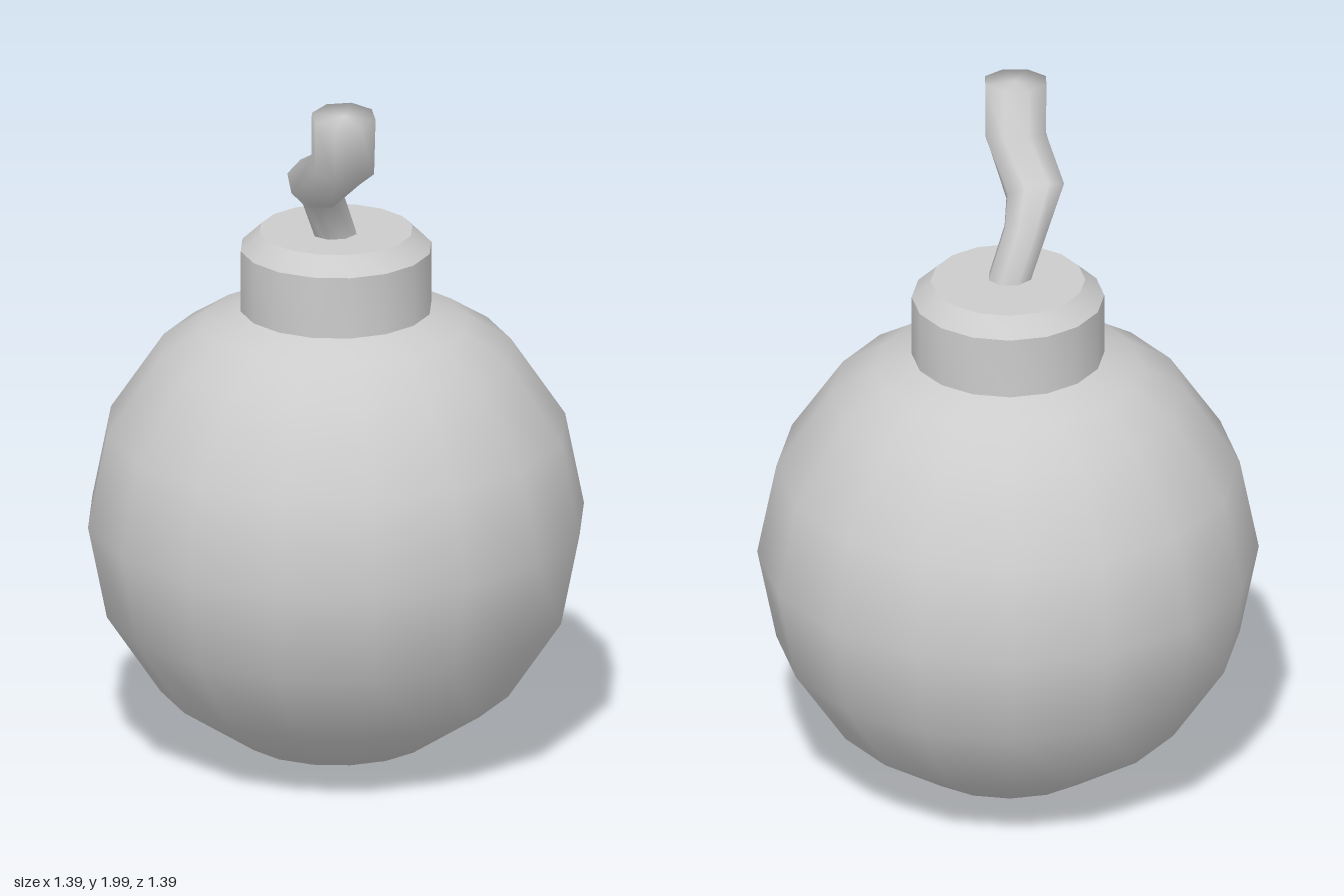
import * as THREE from 'three';
import { toCreasedNormals } from 'three/addons/utils/BufferGeometryUtils.js';

const SIDES = 16;
const FUSE_SIDES = 8;

function lathe(points) {
  return new THREE.LatheGeometry(points.map(([r, y]) => new THREE.Vector2(r, y)), SIDES);
}

// Tube through tilted rings of changing radius, closed at its far end
function ringTube(rings, sides) {
  const positions = [];
  const index = [];
  rings.forEach(({ at, dir, r }, i) => {
    const t = new THREE.Vector3(...dir).normalize();
    const u = new THREE.Vector3(1, 0, 0).addScaledVector(t, -t.x).normalize();
    const v = new THREE.Vector3().crossVectors(t, u);
    for (let j = 0; j < sides; j++) {
      const a = (j / sides) * Math.PI * 2;
      const p = new THREE.Vector3(...at)
        .addScaledVector(u, r * Math.cos(a))
        .addScaledVector(v, r * Math.sin(a));
      positions.push(p.x, p.y, p.z);
      if (i > 0) {
        const k = (j + 1) % sides;
        const a0 = (i - 1) * sides;
        const b0 = i * sides;
        index.push(a0 + j, a0 + k, b0 + j, a0 + k, b0 + k, b0 + j);
      }
    }
  });
  const end = (rings.length - 1) * sides;
  positions.push(...rings[rings.length - 1].at);
  for (let j = 0; j < sides; j++) index.push(end + j, end + ((j + 1) % sides), end + sides);

  const geometry = new THREE.BufferGeometry();
  geometry.setAttribute('position', new THREE.Float32BufferAttribute(positions, 3));
  geometry.setIndex(index);
  geometry.computeVertexNormals();
  return geometry;
}

export function createModel() {
  const group = new THREE.Group();
  const material = new THREE.MeshStandardMaterial({ color: 0xcccccc });
  const add = (name, geometry) => {
    const mesh = new THREE.Mesh(geometry, material);
    mesh.name = name;
    group.add(mesh);
  };

  // Round body: sphere rings from the bottom pole, flattened under the collar
  const radius = 0.695;
  const profile = [];
  for (let i = 0; i <= 6; i++) {
    const a = (i / 8) * Math.PI;
    profile.push([radius * Math.sin(a), 0.7 - radius * Math.cos(a)]);
  }
  profile.push([0.37, 1.27], [0.262, 1.315]);
  add('body', lathe(profile));

  // Collar with a bevelled rim and flat top
  add('collar', toCreasedNormals(
    lathe([[0.267, 1.3], [0.267, 1.49], [0.214, 1.54], [0, 1.54]]), 0.5));

  // Bent fuse, widening towards its tip
  add('fuse', ringTube([
    { at: [0.01, 1.51, 0.015], dir: [-0.15, 0.95, 0.3], r: 0.06 },
    { at: [-0.025, 1.665, 0.066], dir: [-0.1, 0.92, 0.35], r: 0.062 },
    { at: [-0.012, 1.735, 0.177], dir: [0.4, 0.8, 0.48], r: 0.086 },
    { at: [0.092, 1.835, 0.295], dir: [0.2, 0.95, 0.25], r: 0.09 },
    { at: [0.1, 1.99, 0.317], dir: [0.03, 1, 0.1], r: 0.091 },
  ], FUSE_SIDES));

  return group;
}
